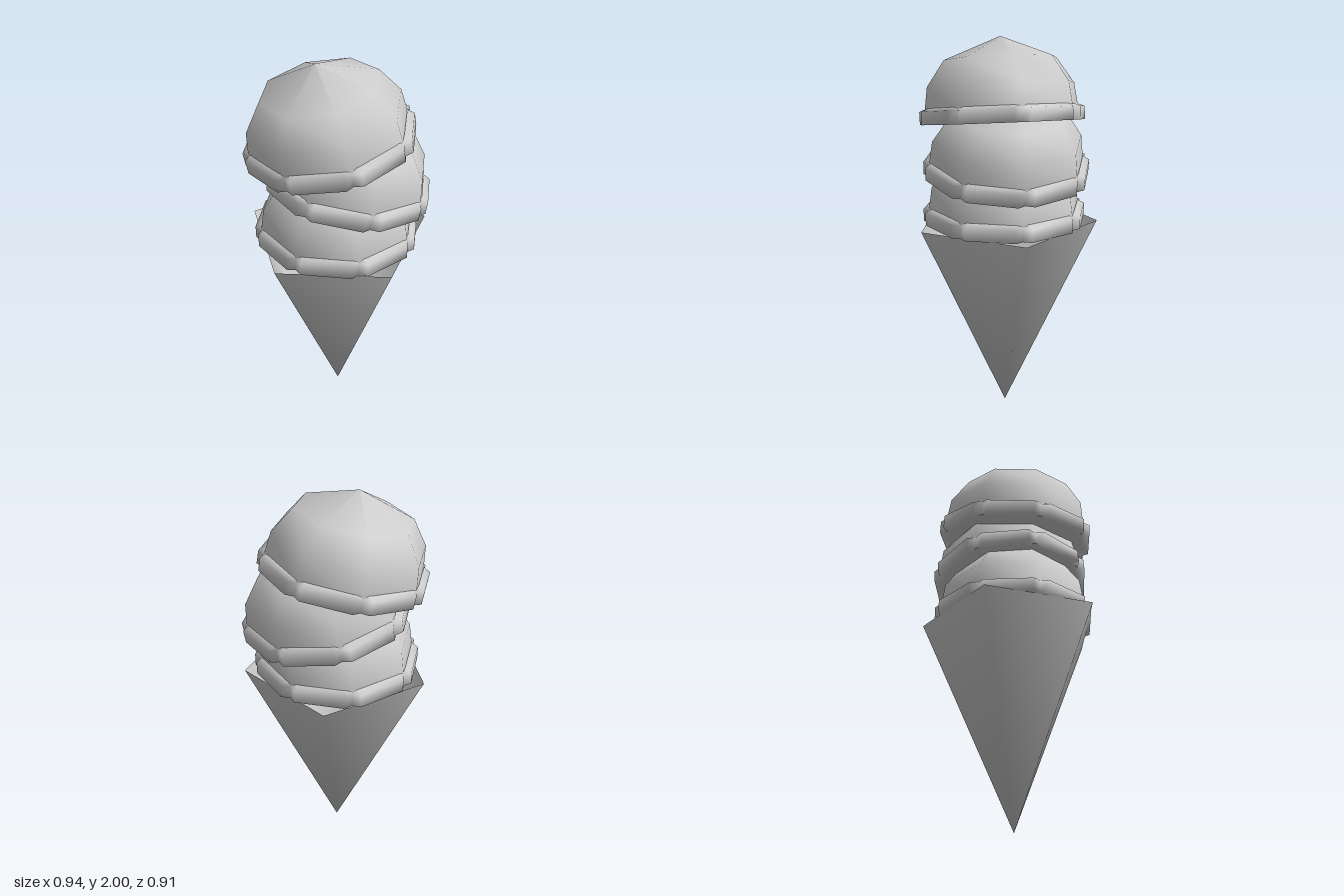
import * as THREE from 'three';

const material = new THREE.MeshStandardMaterial({ color: 0xcccccc, side: THREE.DoubleSide });
const SIDES = 8;

function part(name, geometry) {
  const mesh = new THREE.Mesh(geometry, material);
  mesh.name = name;
  return mesh;
}

// Five-sided open cone with a shared tip, so the walls shade smoothly
function coneGeometry(radius, height) {
  const positions = [0, 0, 0];
  const index = [];
  for (let i = 0; i < 5; i++) {
    const a = (i / 5) * Math.PI * 2;
    positions.push(radius * Math.cos(a), height, radius * Math.sin(a));
    index.push(0, 1 + i, 1 + ((i + 1) % 5));
  }
  const g = new THREE.BufferGeometry();
  g.setAttribute('position', new THREE.Float32BufferAttribute(positions, 3));
  g.setIndex(index);
  g.computeVertexNormals();
  return g;
}

// Rim of eight raised bars with a small notch at every corner
function rimGeometry() {
  const bar = 0.422, notch = 0.4, half = 0.095;
  // Each row: [height, bar radius, notch radius]
  const rows = [[0, 0.37, 0.37], [0, bar, notch], [0.065, bar, notch], [0.08, 0.385, 0.385]];
  const positions = [];
  const index = [];
  const cols = SIDES * 3;
  for (const [y, rBar, rNotch] of rows) {
    for (let i = 0; i < cols; i++) {
      const step = (i % 3 === 2) ? -1 : i % 3;
      const corner = Math.round((i - step) / 3);
      const a = (corner / SIDES) * Math.PI * 2 + step * half;
      const r = step === 0 ? rNotch : rBar;
      positions.push(r * Math.cos(a), y, r * Math.sin(a));
    }
  }
  for (let k = 0; k < rows.length - 1; k++) {
    for (let i = 0; i < cols; i++) {
      const j = (i + 1) % cols;
      const a = k * cols + i, b = k * cols + j;
      index.push(a, a + cols, b, b, a + cols, b + cols);
    }
  }
  const g = new THREE.BufferGeometry();
  g.setAttribute('position', new THREE.Float32BufferAttribute(positions, 3));
  g.setIndex(index);
  g.computeVertexNormals();
  return g;
}

// Eight-sided dome, closed underneath
function domeGeometry() {
  const profile = [[0.395, 0], [0.4, 0.05], [0.38, 0.185], [0.29, 0.313], [0, 0.425]];
  return new THREE.LatheGeometry(profile.map(([r, y]) => new THREE.Vector2(r, y)), SIDES);
}

function scoop(name, x, y, tilt) {
  const group = new THREE.Group();
  group.name = name;
  const base = part('scoopBase', new THREE.CircleGeometry(0.395, SIDES));
  base.rotation.x = Math.PI / 2;
  group.add(part('scoopDome', domeGeometry()), part('scoopRim', rimGeometry()), base);
  group.position.set(x, y, 0);
  group.rotation.z = THREE.MathUtils.degToRad(tilt);
  return group;
}

export function createModel() {
  const model = new THREE.Group();
  model.name = 'iceCreamCone';

  const cone = part('cone', coneGeometry(0.48, 1.08));
  cone.position.x = -0.02;
  model.add(cone);

  // Three stacked scoops, leaning alternately
  model.add(
    scoop('bottomScoop', -0.02, 1.08, 0),
    scoop('middleScoop', 0.03, 1.335, -9),
    scoop('topScoop', -0.05, 1.58, 10)
  );
  return model;
}
